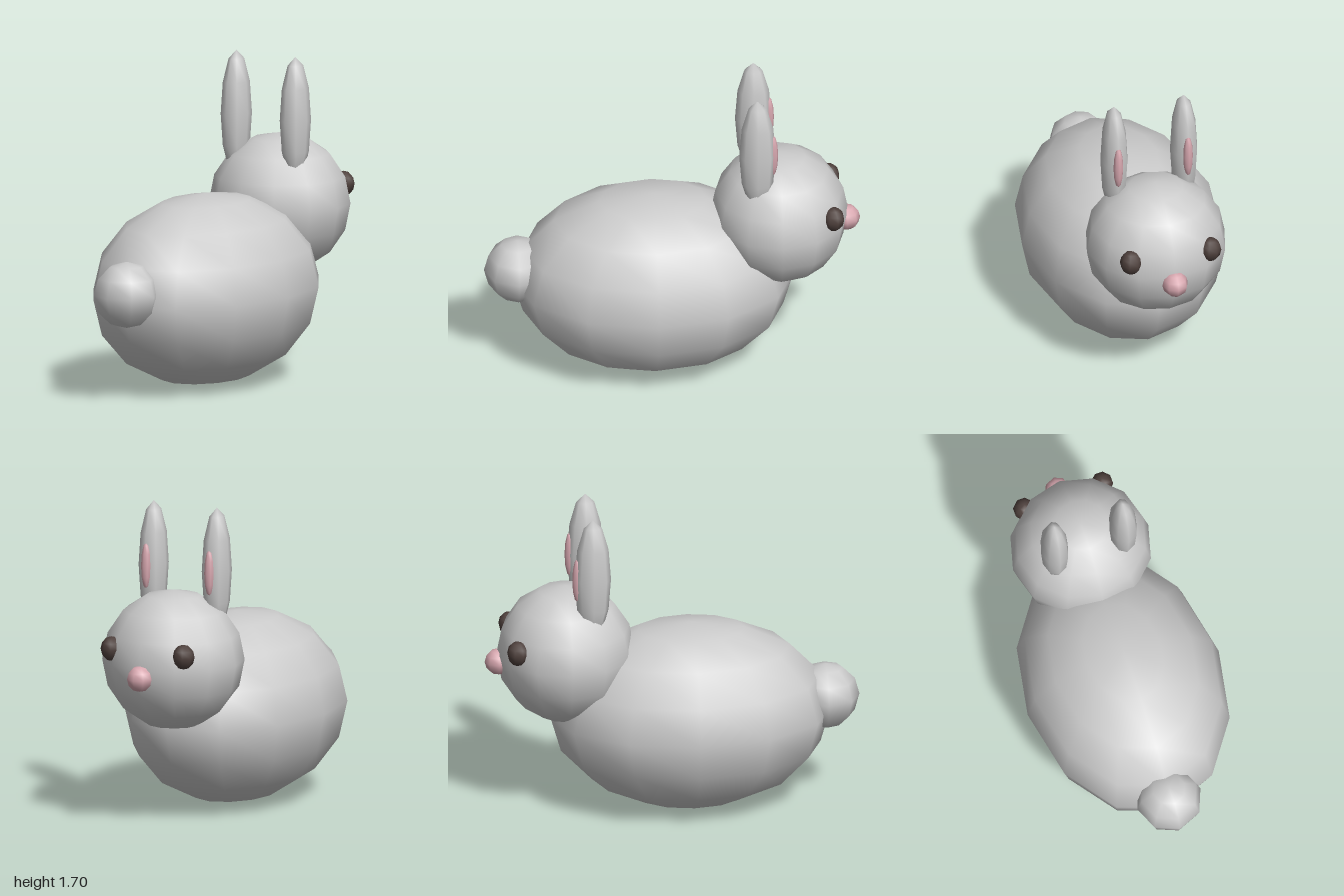
import * as THREE from 'three';

const fur = new THREE.MeshStandardMaterial({ color: 0xcccccc });
const pink = new THREE.MeshStandardMaterial({ color: 0xd8a8b0 });
const dark = new THREE.MeshStandardMaterial({ color: 0x4e403c });

// Smooth low-poly ellipsoid: centre, radii, segments around and in height
function ellipsoid(name, material, centre, radii, around = 8, rows = 6) {
  const geometry = new THREE.SphereGeometry(1, around, rows);
  const mesh = new THREE.Mesh(geometry, material);
  mesh.name = name;
  mesh.position.set(...centre);
  mesh.scale.set(...radii);
  return mesh;
}

export function createModel() {
  const rabbit = new THREE.Group();
  rabbit.name = 'rabbit';

  // Torso, head and tail; the animal looks along +x
  rabbit.add(
    ellipsoid('body', fur, [-0.1, 0.512, 0], [0.75, 0.512, 0.538], 12, 8),
    ellipsoid('head', fur, [0.569, 0.882, 0], [0.369, 0.376, 0.381], 12, 8),
    ellipsoid('tail', fur, [-0.82, 0.577, 0], [0.18, 0.178, 0.178]),
    ellipsoid('nose', pink, [0.928, 0.84, 0], [0.072, 0.07, 0.07])
  );

  // Paired ears and eyes
  for (const [label, side] of [['Near', 1], ['Far', -1]]) {
    const ear = new THREE.Group();
    ear.name = 'ear' + label;
    ear.add(
      ellipsoid('outerEar', fur, [0.443, 1.36, 0.193 * side], [0.097, 0.34, 0.075]),
      ellipsoid('innerEar', pink, [0.525, 1.36, 0.193 * side], [0.028, 0.126, 0.027])
    );

    const eye = ellipsoid('eye' + label, dark, [0.845, 0.966, 0.219 * side], [0.06, 0.067, 0.06]);
    eye.rotation.y = Math.PI / 8;

    rabbit.add(ear, eye);
  }
  return rabbit;
}
